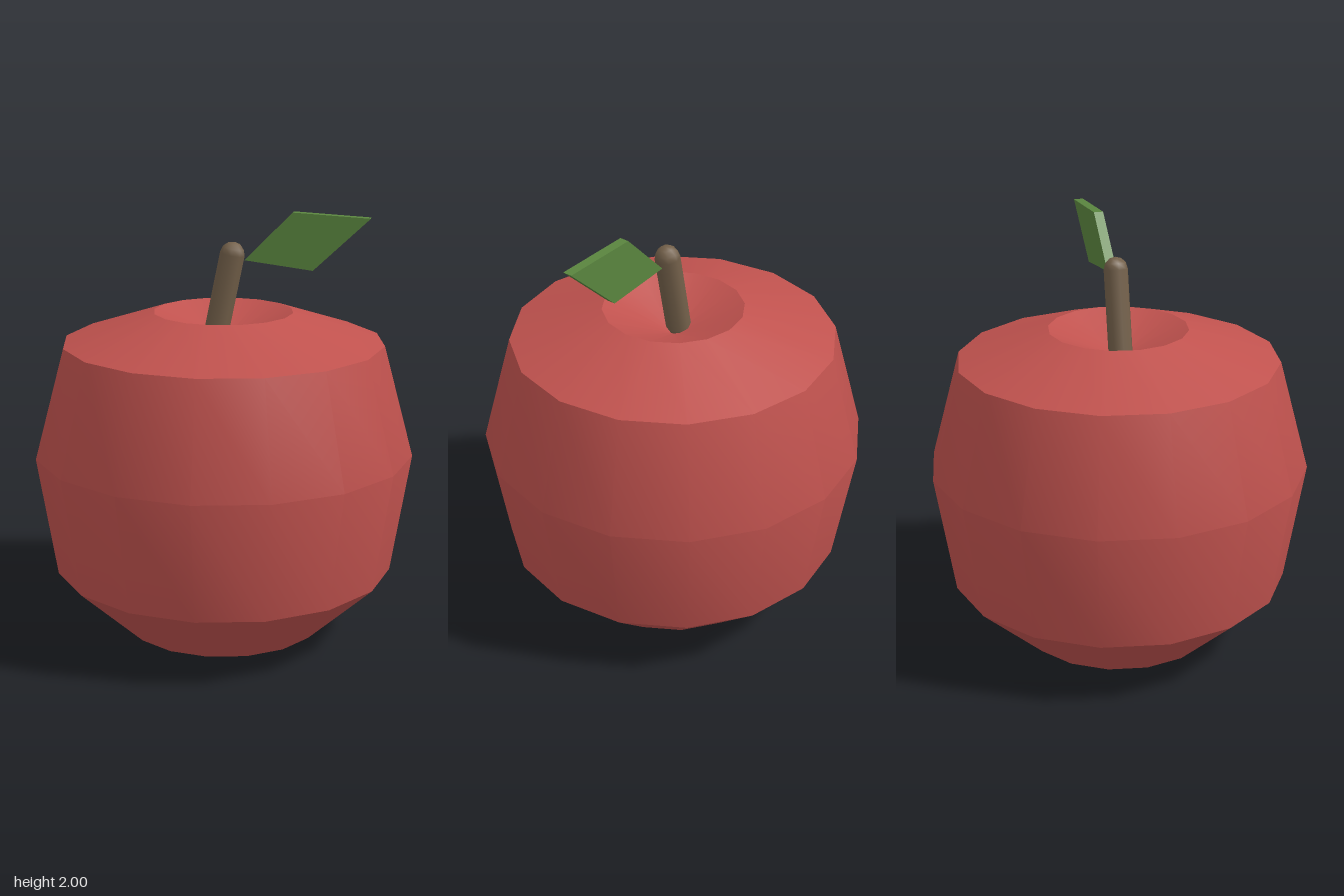
import * as THREE from 'three';
import { toCreasedNormals } from 'three/addons/utils/BufferGeometryUtils.js';

const material = (name, color) => {
  const m = new THREE.MeshStandardMaterial({ color });
  m.name = name;
  return m;
};

const points = (list) => list.map(([x, y]) => new THREE.Vector2(x, y));

export function createModel() {
  const group = new THREE.Group();
  group.name = 'apple';

  const skin = material('apple red', 0xc0524e);
  const bark = material('stem brown', 0x73604a);
  const green = material('leaf green', 0x5a853f);

  const add = (name, geometry, mat) => {
    const mesh = new THREE.Mesh(geometry, mat);
    mesh.name = name;
    group.add(mesh);
    return mesh;
  };

  // Fruit: 16-sided lathe with a sunken top, creased at the strong rings
  const profile = points([
    [0, 0], [0.465, 0.03], [0.79, 0.33], [0.88, 0.89],
    [0.742, 1.4], [0.322, 1.54], [0, 1.4],
  ]);
  add('fruit', toCreasedNormals(new THREE.LatheGeometry(profile, 16), Math.PI / 6), skin);

  // Stem: a thin capsule leaning toward the leaf
  const stem = add('stem', new THREE.CapsuleGeometry(0.057, 0.38, 3, 8), bark);
  stem.position.set(0.003, 1.617, 0);
  stem.rotation.z = -0.2;

  // Leaf: a thin slanted diamond
  const outline = new THREE.Shape(points([
    [0.1, 1.78], [0.41, 1.74], [0.665, 1.98], [0.317, 2],
  ]));
  const leaf = new THREE.ExtrudeGeometry(outline, { depth: 0.044, bevelEnabled: false });
  leaf.translate(0, 0, -0.022);
  add('leaf', leaf, green);

  return group;
}
